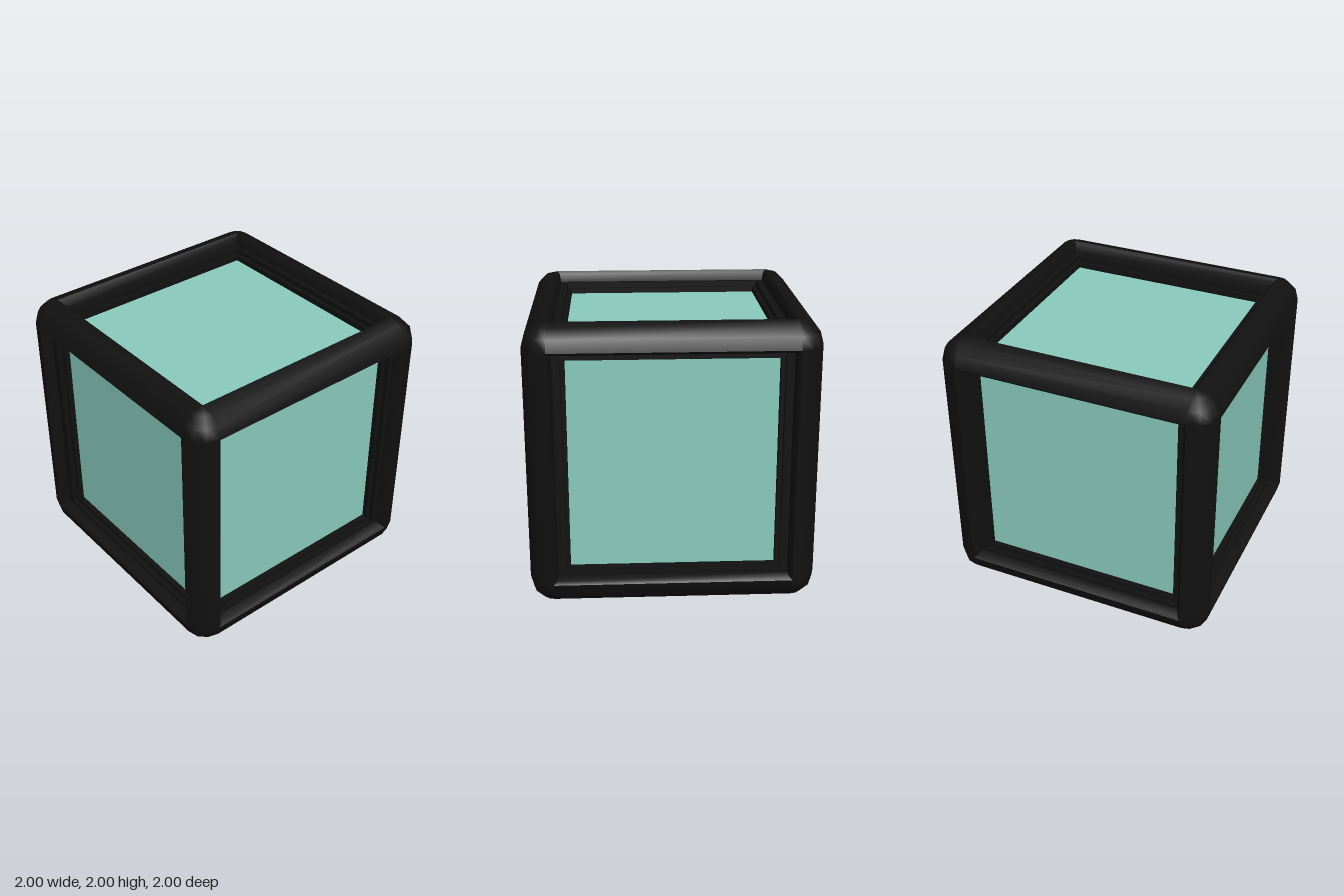
import * as THREE from 'three';
import { toCreasedNormals } from 'three/addons/utils/BufferGeometryUtils.js';

const CORE = 0.83;                    // centre of the rounded edges
const RADIUS = 0.17;
const OPENING = [0.735, 0.75, 0.715]; // half size of the window opening on x, y, z
const PANE = 0.84;                    // half distance between opposite panes
const STEP = 0.03;                    // width of the inner lip

// One leg of the stepped inner side of a bar, from the outer face to the pane
function steps(p) {
  return [[0.81, 0.98], [0.80, 0.92], [p + STEP, 0.92], [p + STEP, 0.88], [p, 0.88], [p, 0.8]];
}

// Cross-section of a bar: rounded outside, stepped towards both windows
function barShape(p, q, su, sv) {
  const points = [];
  for (let i = 0; i <= 3; i++) {
    const a = (i / 3) * Math.PI / 2;
    points.push([CORE + RADIUS * Math.cos(a), CORE + RADIUS * Math.sin(a)]);
  }
  points.push(...steps(p), [0.8, 0.8]);
  points.push(...steps(q).reverse().map(([a, b]) => [b, a]));
  return new THREE.Shape(points.map(([u, v]) => new THREE.Vector2(u * su, v * sv)));
}

export function createModel() {
  const model = new THREE.Group();
  model.name = 'framedCube';
  const body = new THREE.Group();
  body.position.y = 1;
  model.add(body);

  const frameMaterial = new THREE.MeshStandardMaterial({ color: 0x111111 });
  const paneMaterial = new THREE.MeshStandardMaterial({ color: 0x8acbbd });
  const axes = [
    new THREE.Vector3(1, 0, 0),
    new THREE.Vector3(0, 1, 0),
    new THREE.Vector3(0, 0, 1),
  ];

  // Twelve edge bars, four along each axis
  const frame = new THREE.Group();
  frame.name = 'frame';
  body.add(frame);
  for (let k = 0; k < 3; k++) {
    const u = (k + 1) % 3, v = (k + 2) % 3;
    const turn = new THREE.Matrix4().makeBasis(axes[u], axes[v], axes[k]);
    for (const su of [-1, 1]) for (const sv of [-1, 1]) {
      const shape = barShape(OPENING[u], OPENING[v], su, sv);
      const geometry = new THREE.ExtrudeGeometry(shape, { depth: 2 * CORE, bevelEnabled: false });
      geometry.translate(0, 0, -CORE).applyMatrix4(turn);
      const bar = new THREE.Mesh(toCreasedNormals(geometry, 0.7), frameMaterial);
      bar.name = 'edgeBar';
      frame.add(bar);
    }
  }

  // Eight rounded corners, each an eighth of a sphere
  const quadrants = [[-1, 1], [1, 1], [1, -1], [-1, -1]];
  quadrants.forEach(([sx, sz], i) => {
    for (const sy of [-1, 1]) {
      const geometry = new THREE.SphereGeometry(
        RADIUS, 3, 3, i * Math.PI / 2, Math.PI / 2, sy > 0 ? 0 : Math.PI / 2, Math.PI / 2);
      const corner = new THREE.Mesh(geometry, frameMaterial);
      corner.name = 'corner';
      corner.position.set(sx * CORE, sy * CORE, sz * CORE);
      frame.add(corner);
    }
  });

  // Inner block whose six faces fill the windows
  const panes = new THREE.Mesh(new THREE.BoxGeometry(2 * PANE, 2 * PANE, 2 * PANE), paneMaterial);
  panes.name = 'panes';
  body.add(panes);

  return model;
}
